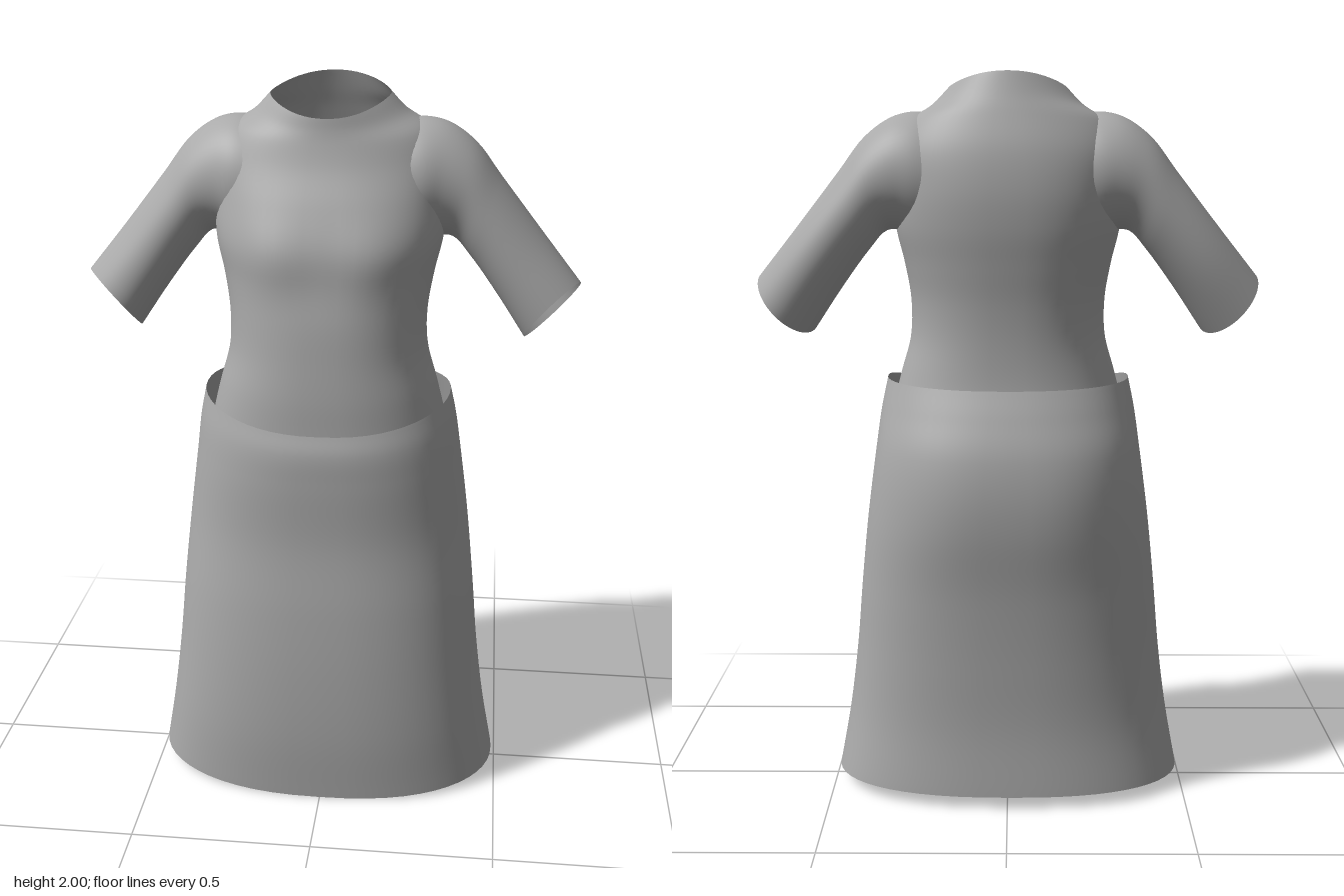
import * as THREE from 'three';

const fabric = new THREE.MeshStandardMaterial({ color: 0xaaaaaa, side: THREE.DoubleSide });
fabric.name = 'grey fabric';
const SIDES = 56;

// Smooth open skin through a list of rings, each holding SIDES points
function loft(name, rings, steps, bumps = []) {
  const columns = [];
  for (let j = 0; j < SIDES; j++) {
    columns.push(new THREE.CatmullRomCurve3(rings.map((r) => r[j]), false, 'centripetal'));
  }
  const pos = [], index = [];
  for (let i = 0; i <= steps; i++) {
    for (let j = 0; j < SIDES; j++) {
      const p = columns[j].getPoint(i / steps);
      // Soft swellings pushed out of the front (+1) or back (-1)
      for (const [x, y, face, height, radius] of bumps) {
        if (p.z * face <= 0) continue;
        const d = ((p.x - x) ** 2 + (p.y - y) ** 2) / radius ** 2;
        p.z += face * height * Math.exp(-d) * Math.min(1, Math.abs(p.z) / 0.12);
      }
      pos.push(p.x, p.y, p.z);
      if (i < steps) {
        const a = i * SIDES + j, b = i * SIDES + (j + 1) % SIDES;
        index.push(a, b, b + SIDES, a, b + SIDES, a + SIDES);
      }
    }
  }
  const g = new THREE.BufferGeometry();
  g.setAttribute('position', new THREE.Float32BufferAttribute(pos, 3));
  g.setIndex(index);
  g.computeVertexNormals();
  const mesh = new THREE.Mesh(g, fabric);
  mesh.name = name;
  return mesh;
}

// Rounded horizontal ring: y at front, side and back, half width, front z, back z, squareness
function bodyRing([yFront, ySide, yBack, w, zFront, zBack, n]) {
  const mid = (zFront + zBack) / 2, depth = (zFront - zBack) / 2;
  const soft = (v) => Math.sign(v) * Math.abs(v) ** (2 / n);
  return Array.from({ length: SIDES }, (_, j) => {
    const t = (j / SIDES) * Math.PI * 2, s = soft(Math.sin(t)), c = soft(Math.cos(t));
    const y = ySide + (c > 0 ? (yFront - ySide) * c * c : (yBack - ySide) * c * c);
    return new THREE.Vector3(w * s, y, mid + depth * c);
  });
}

// Sleeve ring: top x y, bottom x y, front z, back z, slant of the opening
function sleeveRing([tx, ty, bx, by, zFront, zBack, slant], side) {
  const up = new THREE.Vector3(tx - bx, ty - by, 0).multiplyScalar(0.5);
  const out = new THREE.Vector3(up.y, -up.x, 0).normalize();
  return Array.from({ length: SIDES }, (_, j) => {
    const t = (j / SIDES) * Math.PI * 2 * side, c = Math.cos(t), s = Math.sin(t);
    const p = new THREE.Vector3((tx + bx) / 2, (ty + by) / 2, (zFront + zBack) / 2);
    p.addScaledVector(up, c).addScaledVector(out, -slant * s);
    p.z += ((zFront - zBack) / 2) * s;
    p.x *= side;
    return p;
  });
}

export function createModel() {
  const model = new THREE.Group();
  model.name = 'shirt and skirt';

  // Skirt, hem to waist
  const skirt = [
    [0.0, 0.04, 0.035, 0.49, 0.272, -0.245, 2.4],
    [0.2, 0.22, 0.22, 0.458, 0.29, -0.24, 2.4],
    [0.4, 0.41, 0.41, 0.433, 0.295, -0.25, 2.4],
    [0.6, 0.6, 0.6, 0.415, 0.29, -0.265, 2.4],
    [0.8, 0.8, 0.8, 0.393, 0.278, -0.28, 2.4],
    [0.98, 1.0, 1.0, 0.366, 0.285, -0.278, 2.4],
    [1.07, 1.1, 1.1, 0.352, 0.285, -0.25, 2.3],
    [1.122, 1.182, 1.175, 0.335, 0.272, -0.22, 2.3],
  ];
  const seat = [-1, 1].map((s) => [s * 0.15, 0.86, -1, 0.016, 0.17]);
  model.add(loft('skirt', skirt.map(bodyRing), 48, seat));

  // Shirt body, tucked hem to neck opening
  const shirt = [
    [1.02, 1.02, 1.02, 0.335, 0.24, -0.245, 2.4],
    [1.12, 1.12, 1.12, 0.315, 0.24, -0.225, 2.4],
    [1.2, 1.2, 1.2, 0.295, 0.24, -0.215, 2.4],
    [1.3, 1.3, 1.3, 0.268, 0.235, -0.213, 2.4],
    [1.4, 1.4, 1.4, 0.265, 0.228, -0.22, 2.4],
    [1.5, 1.5, 1.5, 0.28, 0.213, -0.235, 2.4],
    [1.6, 1.6, 1.6, 0.302, 0.203, -0.25, 2.4],
    [1.7, 1.7, 1.7, 0.305, 0.172, -0.254, 2.4],
    [1.79, 1.8, 1.8, 0.3, 0.133, -0.242, 2.3],
    [1.85, 1.875, 1.89, 0.262, 0.115, -0.213, 2.2],
    [1.885, 1.918, 1.945, 0.2, 0.108, -0.192, 2.1],
    [1.915, 1.962, 2.0, 0.157, 0.105, -0.172, 2.1],
  ];
  const chest = [-1, 1].map((s) => [s * 0.13, 1.57, 1, 0.016, 0.1]);
  model.add(loft('shirtBody', shirt.map(bodyRing), 60, chest));

  // Sleeves, shoulder to cuff
  const sleeve = [
    [0.19, 1.895, 0.18, 1.56, 0.1, -0.2, 0],
    [0.25, 1.9, 0.24, 1.575, 0.095, -0.205, 0],
    [0.31, 1.885, 0.285, 1.59, 0.078, -0.2, 0],
    [0.38, 1.835, 0.325, 1.588, 0.066, -0.192, 0],
    [0.45, 1.745, 0.375, 1.535, 0.062, -0.187, 0.005],
    [0.56, 1.605, 0.45, 1.435, 0.062, -0.175, 0.02],
    [0.668, 1.472, 0.53, 1.317, 0.065, -0.15, 0.035],
  ];
  for (const [name, side] of [['leftSleeve', 1], ['rightSleeve', -1]]) {
    model.add(loft(name, sleeve.map((r) => sleeveRing(r, side)), 30));
  }
  return model;
}
